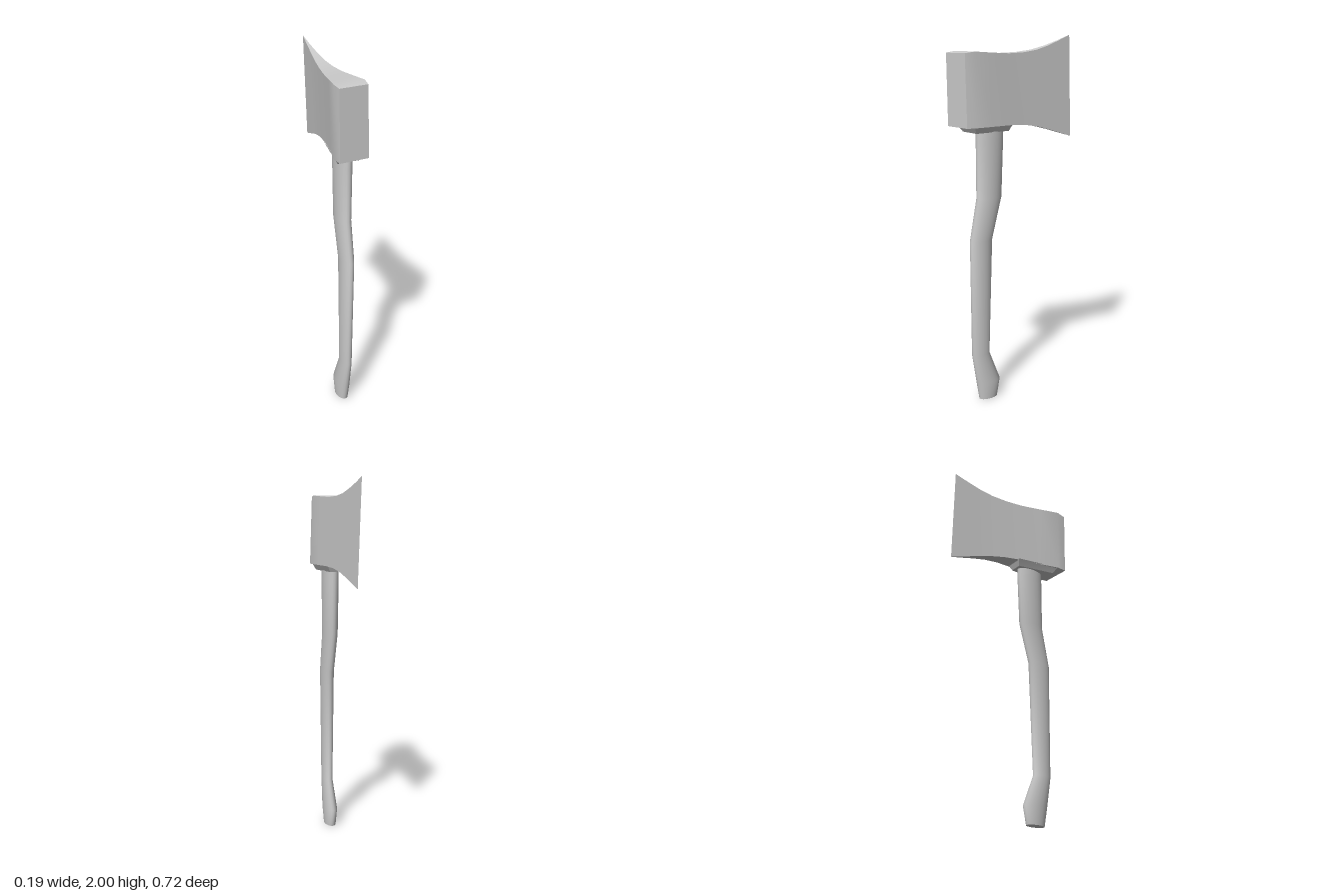
import * as THREE from 'three';
import { toCreasedNormals } from 'three/addons/utils/BufferGeometryUtils.js';

const material = new THREE.MeshStandardMaterial({ color: 0xcccccc });

// Skins a list of rings (arrays of [x, y, z]) and closes both ends.
function loft(name, rings, crease) {
  const n = rings[0].length;
  const points = rings.flat();
  const index = [];
  for (let r = 0; r < rings.length - 1; r++) {
    for (let i = 0; i < n; i++) {
      const a = r * n + i, b = r * n + (i + 1) % n;
      index.push(a, b, b + n, a, b + n, a + n);
    }
  }
  const last = (rings.length - 1) * n;
  for (let i = 1; i < n - 1; i++) {
    index.push(0, i + 1, i);
    index.push(last, last + i, last + i + 1);
  }
  const geometry = new THREE.BufferGeometry();
  geometry.setAttribute('position', new THREE.Float32BufferAttribute(points.flat(), 3));
  geometry.setIndex(index);
  const mesh = new THREE.Mesh(toCreasedNormals(geometry, crease), material);
  mesh.name = name;
  return mesh;
}

export function createModel() {
  const group = new THREE.Group();
  group.name = 'axe';

  // Curved wooden handle: height, front z, back z, half width
  const handle = [
    [0, 0.247, 0.133, 0.031], [0.1, 0.265, 0.114, 0.038],
    [0.27, 0.294, 0.183, 0.029], [0.92, 0.299, 0.161, 0.035],
    [1.15, 0.254, 0.098, 0.038], [1.45, 0.254, 0.087, 0.042],
    [1.56, 0.254, 0.085, 0.042],
  ].map(([y, z0, z1, w]) => Array.from({ length: 20 }, (_, i) => {
    const a = i / 20 * Math.PI * 2;
    return [0.024 + w * Math.sin(a), y, (z0 + z1) / 2 + (z0 - z1) / 2 * Math.cos(a)];
  }));
  group.add(loft('handle', handle, 0.9));

  // Wedge-shaped head from poll to cutting edge:
  // z on the right side, z on the left side, right x, left x, top y, bottom y
  const head = [
    [0.36, 0.35, -0.09, 0.069, 1.912, 1.535],
    [0.305, 0.295, -0.095, 0.078, 1.92, 1.535],
    [0.19, 0.185, -0.067, 0.073, 1.913, 1.535],
    [0.07, 0.07, -0.038, 0.067, 1.907, 1.535],
    [-0.03, -0.03, -0.015, 0.061, 1.911, 1.529],
    [-0.12, -0.12, 0.004, 0.057, 1.923, 1.514],
    [-0.2, -0.2, 0.019, 0.053, 1.944, 1.493],
    [-0.28, -0.28, 0.031, 0.048, 1.971, 1.468],
    [-0.357, -0.357, 0.043, 0.044, 2, 1.445],
  ].map(([z0, z1, x0, x1, top, bottom]) => {
    const lean = 0.037 * (top - bottom);
    const leanRight = lean * (z0 > 0.2 ? 0.6 : 1);
    return [[x0 + leanRight, bottom, z0], [x0, top, z0], [x1, top, z1], [x1 + lean, bottom, z1]];
  });
  group.add(loft('head', head, 0.5));

  // Tapered collar under the head, where the handle enters
  const collar = [
    [1.503, -0.058, -0.008, 0.068, 0.06, 0.283, 0.07],
    [1.54, -0.08, -0.025, 0.086, 0.078, 0.305, 0.055],
  ].map(([y, x0, x1, x2, x3, z0, z1]) => [[x1, y, z1], [x0, y, z0], [x2, y, z0], [x3, y, z1]]);
  group.add(loft('collar', collar, 0.3));

  return group;
}
